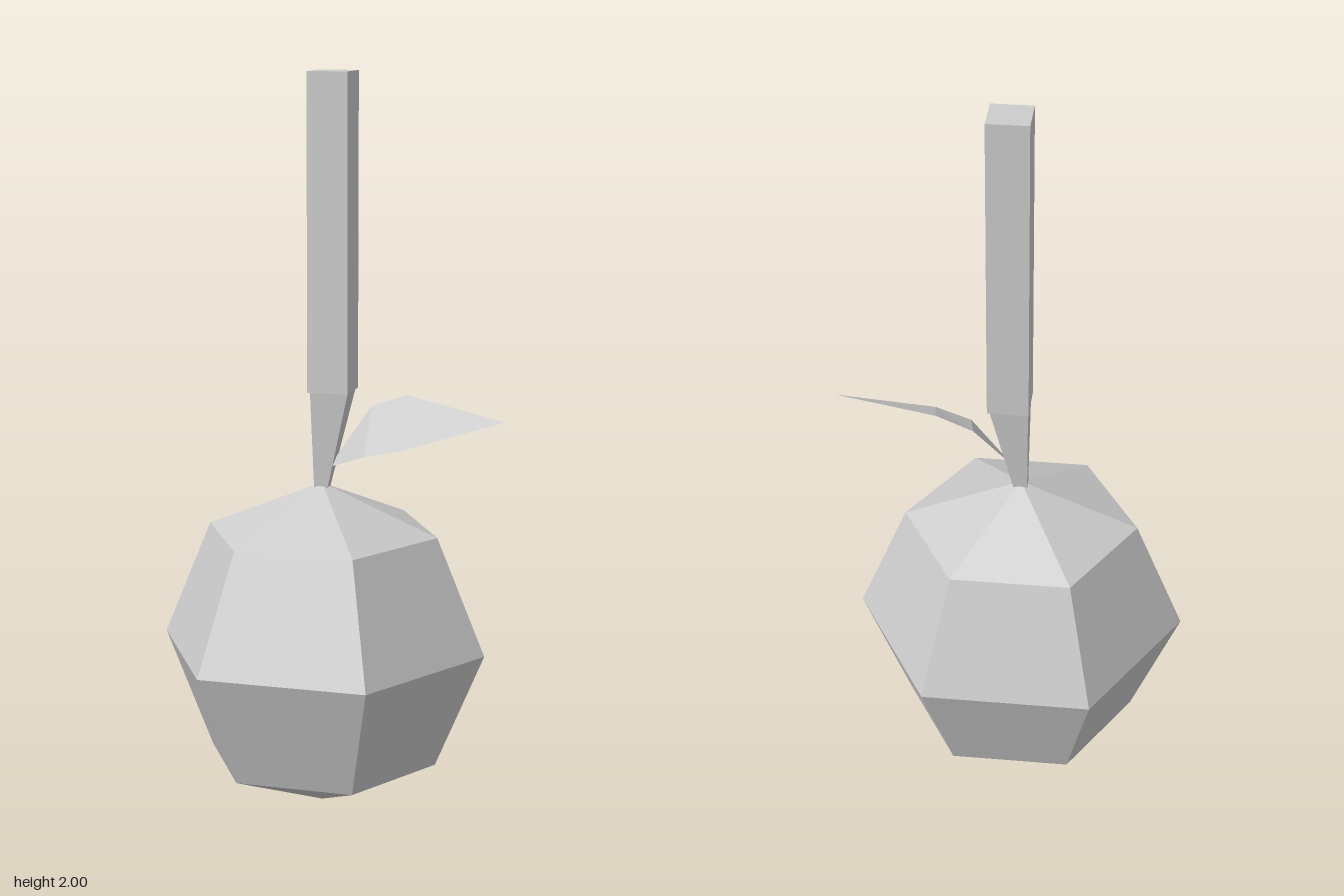
import * as THREE from 'three';

const grey = new THREE.MeshStandardMaterial({ color: 0xcccccc, flatShading: true, side: THREE.DoubleSide });
grey.name = 'lightGrey';

function part(name, geometry, x = 0, y = 0, z = 0) {
  const mesh = new THREE.Mesh(geometry, grey);
  mesh.name = name;
  mesh.position.set(x, y, z);
  return mesh;
}

// Small faceted surface from corner points and triangles
function facets(points, triangles) {
  const g = new THREE.BufferGeometry();
  g.setAttribute('position', new THREE.Float32BufferAttribute(points.flat(), 3));
  g.setIndex(triangles.flat());
  const flat = g.toNonIndexed();
  flat.computeVertexNormals();
  return flat;
}

// Four-sided neck: square corners at the top shrink and shift towards the fruit axis
function neckGeometry() {
  const g = new THREE.BoxGeometry(1, 1, 1);
  const p = g.attributes.position;
  for (let i = 0; i < p.count; i++) {
    const top = p.getY(i) > 0;
    p.setXYZ(
      i,
      top ? p.getX(i) * 0.104 : -0.031 + p.getX(i) * 0.034,
      top ? 1.16 : 0.88,
      p.getZ(i) * (top ? 0.08 : 0.026)
    );
  }
  g.computeVertexNormals();
  return g;
}

export function createModel() {
  const model = new THREE.Group();
  model.name = 'hangingFruit';

  // Fruit: six-sided low-poly ball standing on its lower pole
  model.add(part('fruit', new THREE.SphereGeometry(0.4525, 6, 4), -0.03, 0.4525, 0));

  // Stem: square bar with a tapering neck
  model.add(part('stem', new THREE.BoxGeometry(0.11, 0.84, 0.11), 0, 1.58, 0));
  model.add(part('stemNeck', neckGeometry()));

  // Leaf: thin sheet folded across its width
  const leaf = facets(
    [
      [-0.01, 0.95, 0.005], // base
      [0.12, 1.01, 0.125], // front edge
      [0.22, 1.035, 0.14],
      [0.48, 1.11, 0.06], // tip
      [0.19, 1.145, -0.06], // back edge
      [0.09, 1.11, -0.07],
    ],
    [[0, 1, 5], [1, 2, 5], [2, 4, 5], [2, 3, 4]]
  );
  model.add(part('leaf', leaf));

  return model;
}
